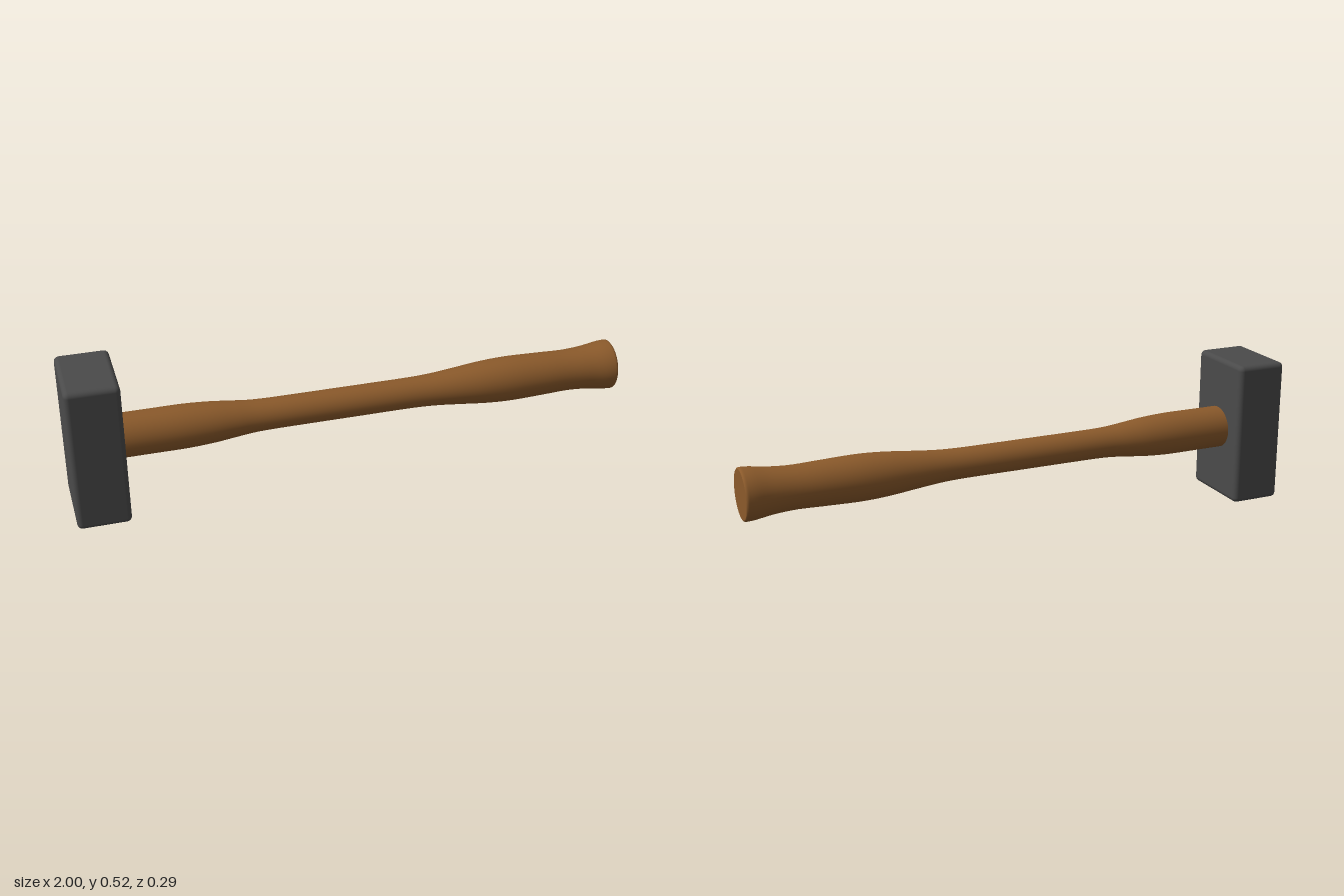
import * as THREE from 'three';
import { RoundedBoxGeometry } from 'three/addons/geometries/RoundedBoxGeometry.js';

const AXIS_Y = 0.265;

export function createModel() {
  const model = new THREE.Group();
  model.name = 'sledgehammer';

  const steel = new THREE.MeshStandardMaterial({ color: 0x4a4a4a });
  steel.name = 'dark steel';
  const wood = new THREE.MeshStandardMaterial({ color: 0x8b5a2b });
  wood.name = 'brown wood';

  // Heavy block head with softened edges
  const head = new THREE.Mesh(new RoundedBoxGeometry(0.185, 0.525, 0.29, 3, 0.018), steel);
  head.name = 'head';
  head.position.set(-0.9075, AXIS_Y, 0);
  model.add(head);

  // Handle: position along the length and radius
  const profile = [
    [-0.84, 0.079], [-0.72, 0.079], [-0.6, 0.079], [-0.5, 0.075], [-0.42, 0.068],
    [-0.34, 0.062], [-0.2, 0.061], [0, 0.061], [0.2, 0.061], [0.3, 0.064],
    [0.4, 0.072], [0.5, 0.080], [0.6, 0.083], [0.72, 0.080], [0.82, 0.077],
    [0.9, 0.081], [0.96, 0.089], [0.99, 0.091],
  ].map(([x, r]) => new THREE.Vector2(r, x));
  const points = new THREE.SplineCurve(profile).getPoints(72);
  points.push(new THREE.Vector2(0.09, 0.995), new THREE.Vector2(0.086, 0.998));

  const shaft = new THREE.LatheGeometry(points, 40, Math.PI);
  shaft.rotateZ(-Math.PI / 2);
  // The slim middle is slightly oval, flatter in height
  const pos = shaft.attributes.position;
  for (let i = 0; i < pos.count; i++) {
    const x = pos.getX(i);
    const waist = 1 - THREE.MathUtils.smoothstep(Math.abs(x), 0.25, 0.6);
    pos.setY(i, pos.getY(i) * (0.97 - 0.1 * waist + 0.03 * THREE.MathUtils.smoothstep(x, 0.8, 0.98)));
  }

  const handle = new THREE.Group();
  handle.name = 'handle';
  handle.position.y = AXIS_Y;
  const grip = new THREE.Mesh(shaft, wood);
  grip.name = 'shaft';
  handle.add(grip);

  // Flat butt end
  const butt = new THREE.Mesh(new THREE.CircleGeometry(0.086, 40).rotateY(Math.PI / 2), wood);
  butt.name = 'buttEnd';
  butt.position.x = 0.998;
  handle.add(butt);
  model.add(handle);

  return model;
}
